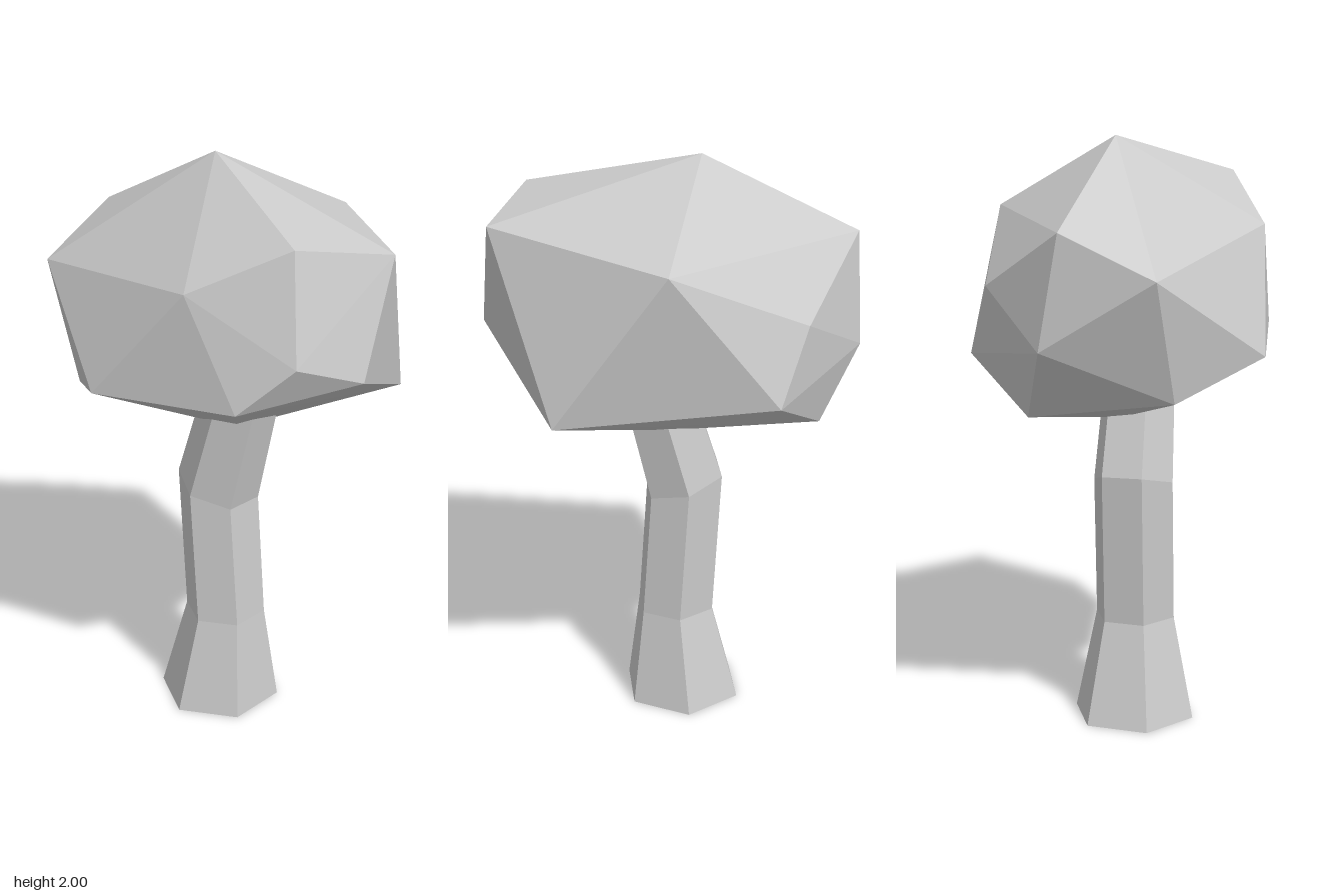
import * as THREE from 'three';
import { ConvexGeometry } from 'three/addons/geometries/ConvexGeometry.js';

const SIDES = 6;

// Skin a stack of rings { x, y, z, r, tilt } with flat quads and capped ends.
function loftRings(rings) {
  const point = (ring, k) => {
    const a = (k / SIDES) * Math.PI * 2 - THREE.MathUtils.degToRad(5);
    const dx = ring.r * Math.sin(a);
    return [ring.x + dx, ring.y - ring.tilt * dx, ring.z + ring.r * Math.cos(a)];
  };
  const pos = [];
  const tri = (a, b, c) => pos.push(...a, ...b, ...c);
  const first = rings[0], last = rings[rings.length - 1];
  for (let k = 0; k < SIDES; k++) {
    for (let j = 0; j < rings.length - 1; j++) {
      const a = point(rings[j], k), b = point(rings[j], k + 1);
      const c = point(rings[j + 1], k + 1), d = point(rings[j + 1], k);
      tri(a, b, c);
      tri(a, c, d);
    }
    tri([first.x, first.y, first.z], point(first, k + 1), point(first, k));
    tri([last.x, last.y, last.z], point(last, k), point(last, k + 1));
  }
  const geometry = new THREE.BufferGeometry();
  geometry.setAttribute('position', new THREE.Float32BufferAttribute(pos, 3));
  geometry.computeVertexNormals();
  return geometry;
}

export function createModel() {
  const group = new THREE.Group();
  group.name = 'tree';
  const material = new THREE.MeshStandardMaterial({ color: 0xcccccc, flatShading: true });

  // Trunk: flared foot, a bend at two thirds, top buried in the crown
  const trunk = new THREE.Mesh(loftRings([
    { x: -0.04, y: 0, z: 0.02, r: 0.214, tilt: 0 },
    { x: -0.015, y: 0.35, z: 0.018, r: 0.141, tilt: 0 },
    { x: -0.045, y: 0.835, z: 0.018, r: 0.141, tilt: 0.29 },
    { x: 0.055, y: 1.2, z: 0.018, r: 0.125, tilt: 0.29 },
  ]), material);
  trunk.name = 'trunk';
  group.add(trunk);

  // Crown: faceted convex lump spanned by its corners
  const corners = [
    // top and upper ring
    [-0.09, 2.0, -0.03], [0.11, 1.75, -0.49], [0.605, 1.8, -0.03], [0.44, 1.86, 0.265],
    [0.145, 1.7, 0.427], [-0.613, 1.59, 0.225], [-0.605, 1.73, -0.085], [-0.36, 1.53, -0.395],
    // middle ring
    [-0.19, 1.305, 0.49], [0.335, 1.345, 0.417], [0.5, 1.51, 0.33], [0.613, 1.43, 0.13],
    [0.455, 1.22, -0.34], [-0.25, 1.29, -0.485], [-0.605, 1.36, -0.15],
    // underside
    [-0.463, 1.19, 0.25], [-0.45, 1.125, -0.23], [0, 1.045, -0.03],
  ].map((p) => new THREE.Vector3(...p));
  const crown = new THREE.Mesh(new ConvexGeometry(corners), material);
  crown.name = 'crown';
  group.add(crown);

  return group;
}
